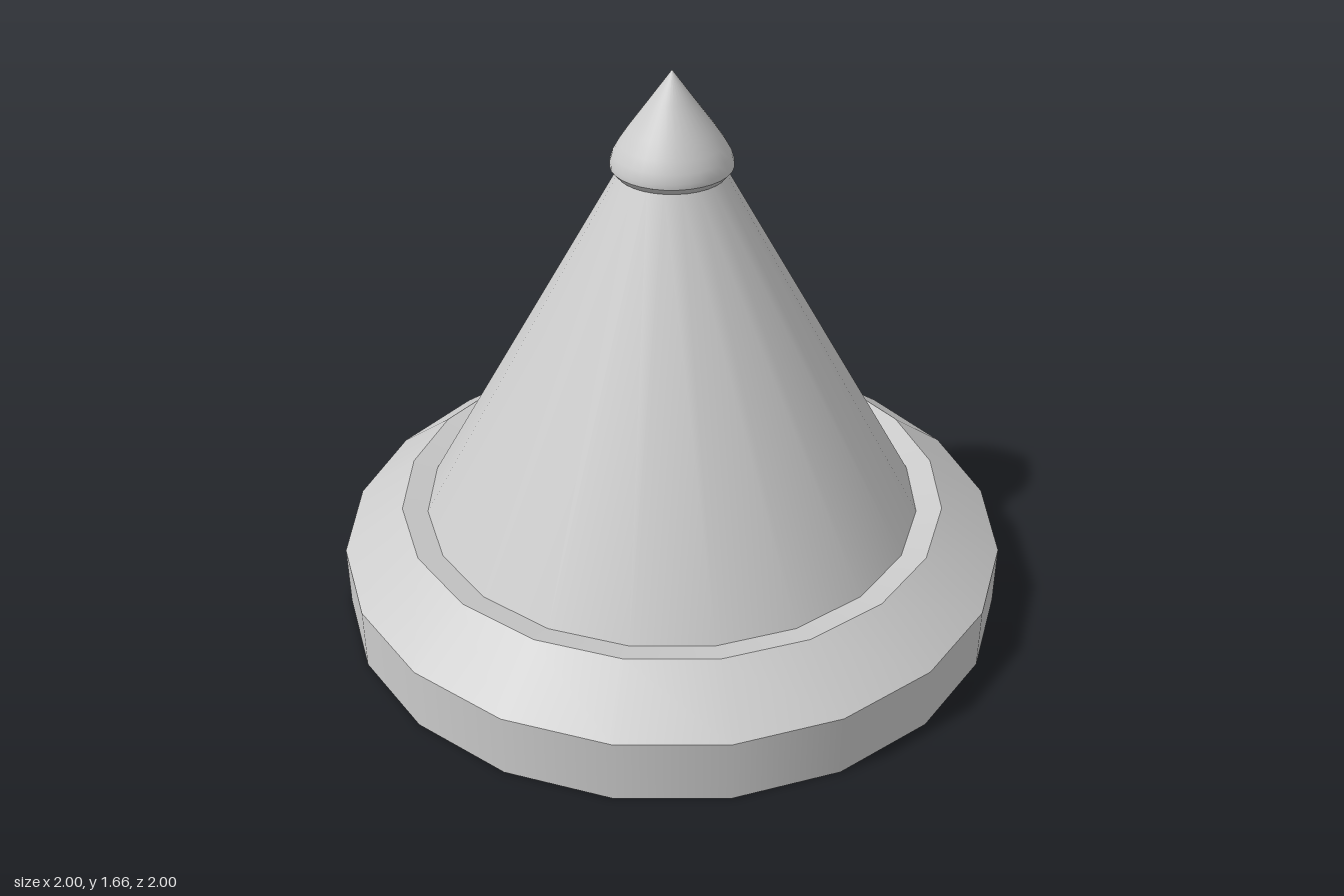
import * as THREE from 'three';

const SIDES = 20;

export function createModel() {
  const model = new THREE.Group();
  const material = new THREE.MeshStandardMaterial({ color: 0xcccccc, side: THREE.DoubleSide });

  // Revolve a short profile of [radius, height] pairs, listed from bottom to top
  function revolve(name, profile, sides = SIDES) {
    const points = profile.map(([r, y]) => new THREE.Vector2(r, y));
    const mesh = new THREE.Mesh(new THREE.LatheGeometry(points, sides), material);
    mesh.name = name;
    model.add(mesh);
  }

  // Open base ring: each band is separate so the edges between stay sharp
  revolve('baseWall', [[1, 0], [1, 0.19]]);
  revolve('baseBevel', [[1, 0.19], [0.82, 0.325]]);
  revolve('baseGroove', [[0.82, 0.325], [0.745, 0.307]]);

  // Tall cone
  revolve('coneBody', [[0.745, 0.307], [0.15, 1.375]]);

  // Underside of the cone, sinking to a shallow central point
  revolve('coneFloor', [[0.33, 0.17], [0.745, 0.307]]);
  revolve('floorPoint', [[0, 0], [0.33, 0.17]]);

  // Pointed finial with a rounded lower edge
  revolve('finialCollar', [[0, 1.37], [0.155, 1.37], [0.172, 1.39]], 32);
  revolve('finialTip', [
    [0.172, 1.39], [0.172, 1.405], [0.164, 1.43], [0.147, 1.46], [0.12, 1.5], [0.06, 1.582], [0, 1.665],
  ], 32);

  return model;
}
